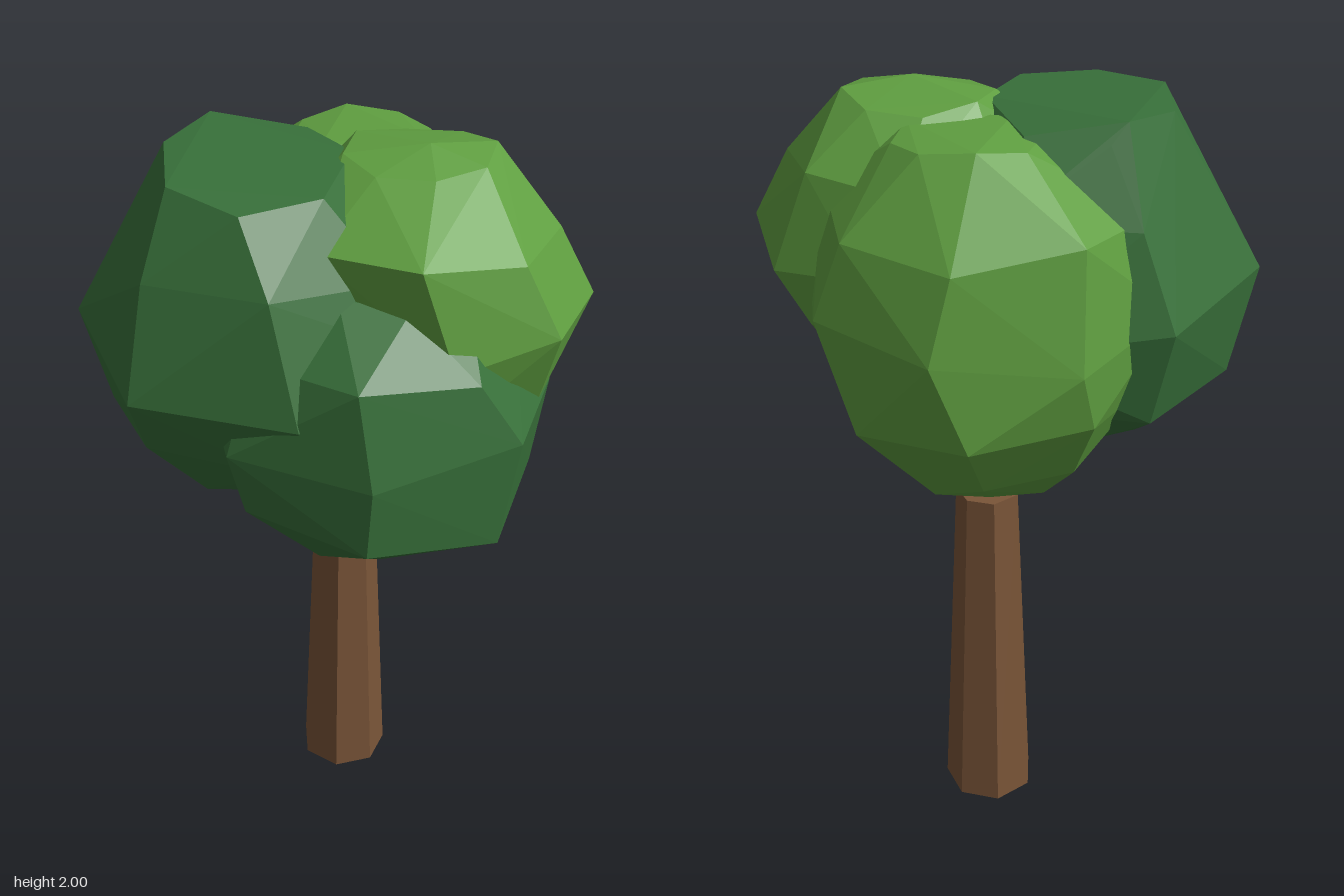
import * as THREE from 'three';
import { ConvexGeometry } from 'three/addons/geometries/ConvexGeometry.js';

const paint = (color) => new THREE.MeshStandardMaterial({ color, flatShading: true });

// One faceted leaf clump: a hull around stacked rings, each [y, centreX, centreZ, radiusX, radiusZ, turn].
// A small rise and fall along each ring breaks it into uneven facets.
function leafClump(name, material, sides, rings) {
  const points = [];
  rings.forEach(([y, cx, cz, rx, rz, turn], k) => {
    for (let i = 0; i < sides; i++) {
      const a = turn + (i / sides) * Math.PI * 2;
      const lift = 0.07 * rx * Math.sin(i * 1.9 + k * 2.6);
      points.push(new THREE.Vector3(cx + Math.sin(a) * rx, y + lift, cz + Math.cos(a) * rz));
    }
  });
  const mesh = new THREE.Mesh(new ConvexGeometry(points), material);
  mesh.name = name;
  return mesh;
}

export function createModel() {
  const tree = new THREE.Group();
  tree.name = 'tree';
  const darkLeaf = paint(0x38703a);
  const lightLeaf = paint(0x5f9e40);

  // Tapered seven-sided trunk
  const trunk = new THREE.Mesh(new THREE.CylinderGeometry(0.082, 0.122, 0.975, 7), paint(0x7a5538));
  trunk.name = 'trunk';
  trunk.position.set(0.031, 0.4875, -0.138);
  trunk.rotation.y = -0.175;
  tree.add(trunk);

  // Four overlapping clumps form the crown
  tree.add(
    leafClump('rightLeaves', darkLeaf, 7, [
      [1.14, -0.22, 0.01, 0.17, 0.17, 0.3],
      [1.3, -0.16, 0.01, 0.4, 0.36, 0.1],
      [1.53, -0.15, 0.03, 0.47, 0.45, 0.15],
      [1.76, -0.16, 0.03, 0.36, 0.37, 0.05],
      [1.95, -0.18, 0.03, 0.225, 0.26, -0.12],
      [1.985, -0.29, -0.19, 0, 0, 0],
    ]),
    leafClump('frontLeaves', darkLeaf, 7, [
      [1.04, 0.08, 0.19, 0.18, 0.14, 0.2],
      [1.2, 0.11, 0.18, 0.38, 0.375, -0.1],
      [1.42, 0.1, 0.19, 0.43, 0.37, -0.04],
      [1.6, 0.1, 0.18, 0.33, 0.34, -0.15],
      [1.74, 0.13, 0.15, 0.19, 0.19, 0.2],
    ]),
    leafClump('backLeaves', lightLeaf, 8, [
      [1.04, 0.03, -0.16, 0.19, 0.14, 0.1],
      [1.17, 0.03, -0.15, 0.3, 0.28, 0.05],
      [1.32, 0.03, -0.14, 0.39, 0.41, -0.02],
      [1.53, 0.03, -0.14, 0.45, 0.41, -0.21],
      [1.76, 0.03, -0.14, 0.39, 0.36, -0.12],
      [1.94, 0.07, -0.19, 0.17, 0.13, 0.2],
    ]),
    leafClump('leftLeaves', lightLeaf, 8, [
      [1.27, 0.31, 0, 0.1, 0.1, 0],
      [1.45, 0.28, 0.03, 0.26, 0.31, 0.1],
      [1.62, 0.28, 0.045, 0.34, 0.35, -0.03],
      [1.82, 0.2, 0.045, 0.33, 0.33, -0.03],
      [1.97, 0.2, 0.01, 0.18, 0.15, 0.15],
      [2.0, 0.22, 0.04, 0, 0, 0],
    ]),
  );
  return tree;
}
